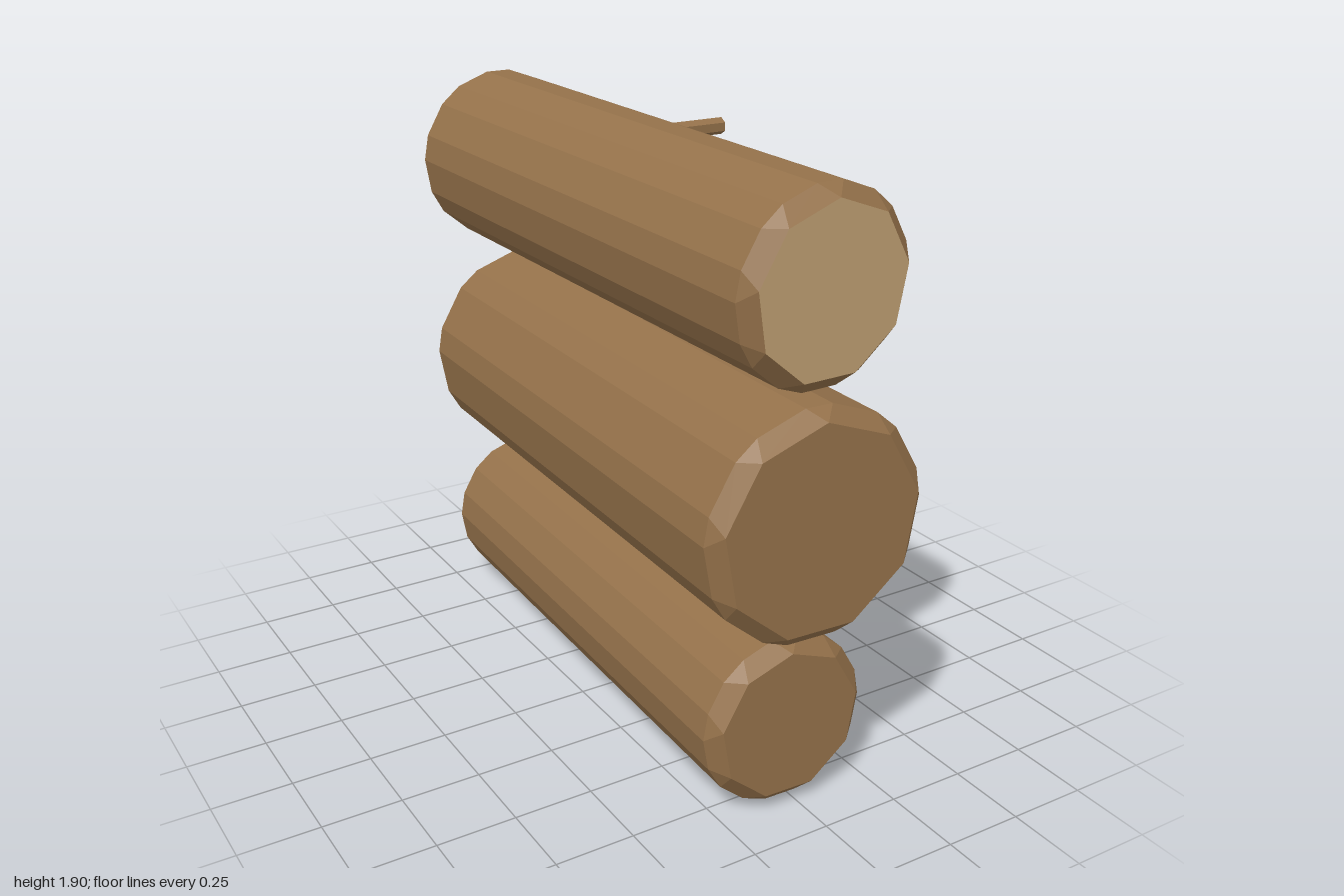
import * as THREE from 'three';

const SIDES = 9;

// Nine-sided log along z with every edge chamfered; group 0 is bark, group 1 the cut ends
function logGeometry(radius, length, bevel) {
  const corner = (k, r = radius) => {
    const a = Math.PI / 2 + (k * 2 * Math.PI) / SIDES;
    return new THREE.Vector2(Math.cos(a) * r, Math.sin(a) * r);
  };
  const toward = (a, b) => a.clone().add(b.clone().sub(a).setLength(bevel));
  const inner = [], ring = [];
  for (let k = 0; k < SIDES; k++) {
    inner.push(corner(k, radius - bevel / Math.cos(Math.PI / SIDES)));
    ring.push(toward(corner(k), corner(k - 1)), toward(corner(k), corner(k + 1)));
  }
  const n = ring.length, tip = length / 2, edge = tip - bevel;
  const bark = [], ends = [];
  const face = (out, flip, ...pts) => {
    const p = flip ? pts.reverse() : pts;
    for (let i = 1; i < p.length - 1; i++) {
      for (const v of [p[0], p[i], p[i + 1]]) out.push(v.x, v.y, v.z);
    }
  };
  const at = (v, z) => new THREE.Vector3(v.x, v.y, z);

  // Long faces
  for (let i = 0; i < n; i++) {
    const a = ring[i], b = ring[(i + 1) % n];
    face(bark, false, at(a, -edge), at(b, -edge), at(b, edge), at(a, edge));
  }
  // Chamfered rims and flat ends
  for (const s of [1, -1]) {
    for (let k = 0; k < SIDES; k++) {
      const j = (k + 1) % SIDES;
      const ck = at(inner[k], s * tip), cj = at(inner[j], s * tip);
      const a = at(ring[2 * k], s * edge), b = at(ring[2 * k + 1], s * edge);
      face(bark, s < 0, b, at(ring[2 * j], s * edge), cj, ck);
      face(bark, s < 0, a, b, ck);
    }
    face(ends, s < 0, ...inner.map((v) => at(v, s * tip)));
  }
  const geo = new THREE.BufferGeometry();
  geo.setAttribute('position', new THREE.Float32BufferAttribute([...bark, ...ends], 3));
  geo.addGroup(0, bark.length / 3, 0);
  geo.addGroup(bark.length / 3, ends.length / 3, 1);
  geo.computeVertexNormals();
  return geo;
}

export function createModel() {
  const model = new THREE.Group();
  model.name = 'logStack';
  const bark = new THREE.MeshStandardMaterial({ color: 0x94714a, flatShading: true });
  bark.name = 'bark brown';
  const cutWood = new THREE.MeshStandardMaterial({ color: 0xc2a274, flatShading: true });
  cutWood.name = 'cut wood tan';

  // Logs, each given by the centres of its front and back ends
  const logs = [
    { name: 'bottomLog', r: 0.28, front: [-0.036, 0.278, 0.86], back: [0.03, 0.264, -0.985], end: bark },
    { name: 'middleLog', r: 0.362, front: [-0.043, 0.945, 0.983], back: [0.037, 0.922, -0.94], end: bark },
    { name: 'topLog', r: 0.3, front: [0.027, 1.576, 0.893], back: [-0.033, 1.616, -0.988], end: cutWood },
  ];
  for (const { name, r, front, back, end } of logs) {
    const f = new THREE.Vector3(...front), b = new THREE.Vector3(...back);
    const log = new THREE.Mesh(logGeometry(r, f.distanceTo(b), 0.045), [bark, end]);
    log.name = name;
    log.position.copy(f).add(b).multiplyScalar(0.5);
    log.lookAt(f);
    model.add(log);
  }

  // Small twig stub sticking out of the top log
  const twig = new THREE.Mesh(new THREE.CylinderGeometry(0.026, 0.026, 0.25, 6, 1, false, Math.PI / 6), bark);
  twig.name = 'twig';
  twig.rotation.z = -Math.PI / 2;
  twig.position.set(0.172, 1.825, -0.05);
  model.add(twig);

  return model;
}
